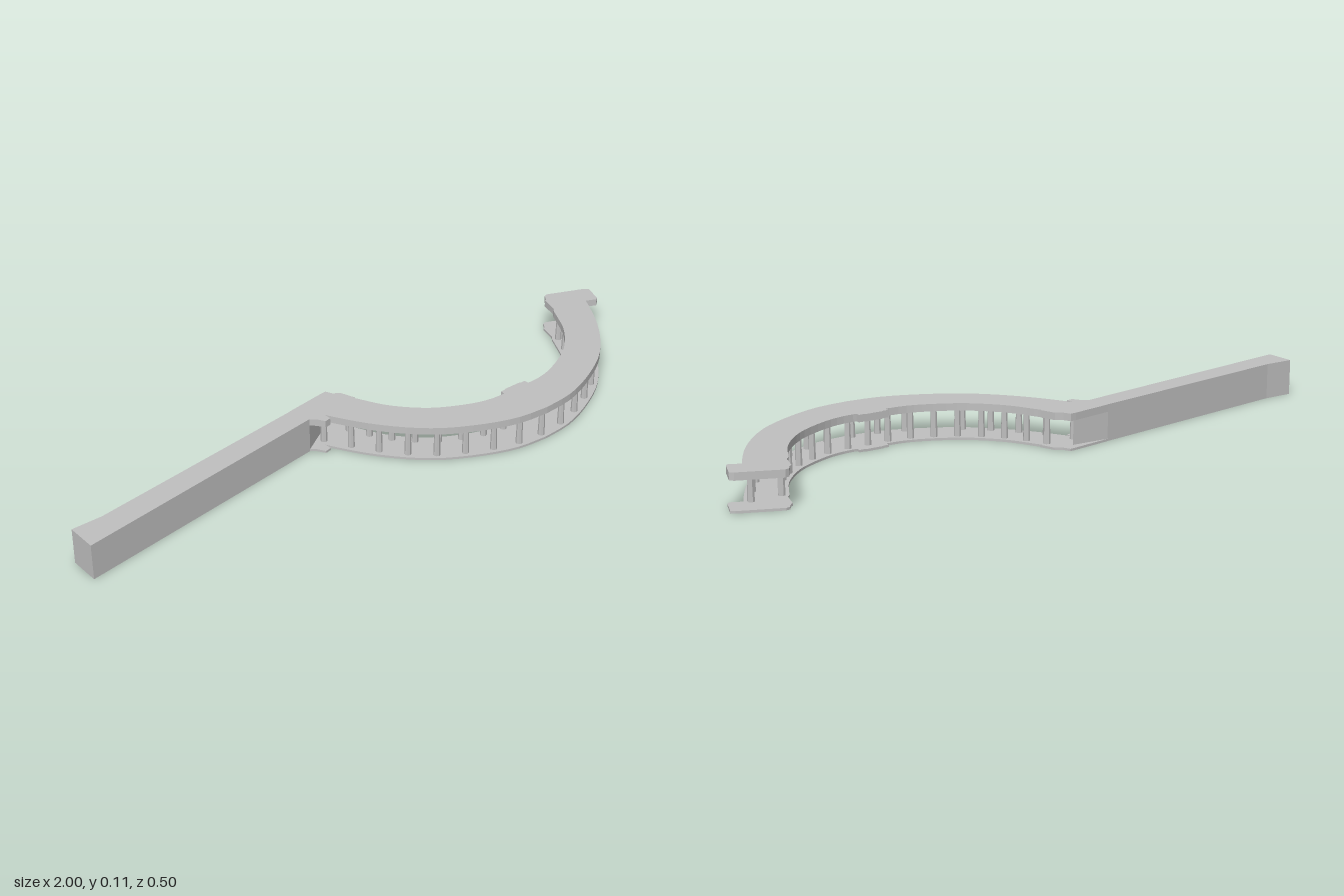
import * as THREE from 'three';

const stone = new THREE.MeshStandardMaterial({ color: 0xc0c0c0 });
stone.name = 'pale stone';

const CX = 0.4; // mirror line of the curved colonnade
const BASE = 0.007, EAVES = 0.088, TOP = 0.11;

// Half profiles of the curved walk as [distance from mirror line, z]
const OUTER = [[0, 0.25], [0.1, 0.24], [0.2, 0.205], [0.31, 0.145], [0.39, 0.075], [0.46, -0.01], [0.51, -0.09], [0.537, -0.14]];
const INNER = [[0, 0.115], [0.09, 0.113], [0.16, 0.095], [0.25, 0.05], [0.31, 0], [0.36, -0.06], [0.395, -0.125], [0.41, -0.155]];

const curve = (pts) => new THREE.SplineCurve(pts.map(([x, z]) => new THREE.Vector2(x, z)));

// Horizontal slab from a plan outline of [x, z] points
function slab(name, outline, y0, y1) {
  const shape = new THREE.Shape(outline.map(([x, z]) => new THREE.Vector2(x, -z)));
  const geo = new THREE.ExtrudeGeometry(shape, { depth: y1 - y0, bevelEnabled: false });
  geo.rotateX(-Math.PI / 2);
  geo.translate(0, y0, 0);
  const mesh = new THREE.Mesh(geo, stone);
  mesh.name = name;
  return mesh;
}

// Plan of the curved walk with a pavilion at each end and a central inner step
function walkOutline() {
  const outer = curve(OUTER).getPoints(21).map((p) => [p.x, p.y]);
  const inner = curve(INNER).getPoints(21).map((p) => [p.x, p.y]).filter((p) => p[0] > 0.05);
  const right = ([x, z]) => [CX + x, z];
  const left = ([x, z]) => [CX - x, z];
  const rightPavilion = [[0.97, -0.125], [0.978, -0.13], [1, -0.19], [0.99, -0.2], [0.87, -0.25], [0.857, -0.247],
    [0.845, -0.228], [0.838, -0.225], [0.822, -0.17]];
  const leftPavilion = [[-0.003, -0.148], [-0.02, -0.195], [-0.04, -0.208], [-0.05, -0.23], [-0.07, -0.228],
    [-0.2, -0.208], [-0.18, -0.138], [-0.165, -0.125], [-0.15, -0.1], [-0.13, -0.104]];
  const step = [[CX + 0.048, 0.114], [CX + 0.048, 0.1], [CX + 0.03, 0.1], [CX + 0.03, 0.097],
    [CX - 0.03, 0.097], [CX - 0.03, 0.1], [CX - 0.048, 0.1], [CX - 0.048, 0.114]];
  return [
    ...outer.slice(1).reverse().map(left).slice(1), ...outer.map(right),
    ...rightPavilion,
    ...inner.slice().reverse().map(right), ...step, ...inner.map(left),
    ...leftPavilion,
  ];
}

// Slightly tapered faceted columns standing in a row along a half profile, mirrored
function columnRow(name, profile, inset, count) {
  const row = new THREE.Group();
  row.name = name;
  const height = EAVES - BASE;
  const shaft = new THREE.CylinderGeometry(0.0085, 0.0105, height, 8, 1, true).toNonIndexed();
  shaft.computeVertexNormals();
  const path = curve(profile);
  for (let i = 0; i <= count; i++) {
    const t = i / count;
    const p = path.getPointAt(t), d = path.getTangentAt(t);
    const x = p.x + d.y * inset, z = p.y - d.x * inset;
    for (const side of i === 0 ? [1] : [1, -1]) {
      const column = new THREE.Mesh(shaft, stone);
      column.name = 'column';
      column.position.set(CX + side * x, BASE + height / 2, z);
      row.add(column);
    }
  }
  return row;
}

export function createModel() {
  const model = new THREE.Group();
  model.name = 'colonnade';

  // Long straight wing, closed on all sides
  model.add(slab('straightWing', [[-1, -0.01], [-0.18, -0.138], [-0.08, -0.202], [-0.2, -0.207],
    [-0.905, -0.105], [-1, -0.105]], 0, TOP));

  // Curved walk: floor, roof and two rows of columns
  const plan = walkOutline();
  model.add(slab('floor', plan, 0, BASE));
  model.add(slab('roof', plan, EAVES, TOP));
  model.add(columnRow('outerColumns', OUTER, 0.02, 8));
  model.add(columnRow('innerColumns', INNER, -0.02, 8));
  return model;
}
